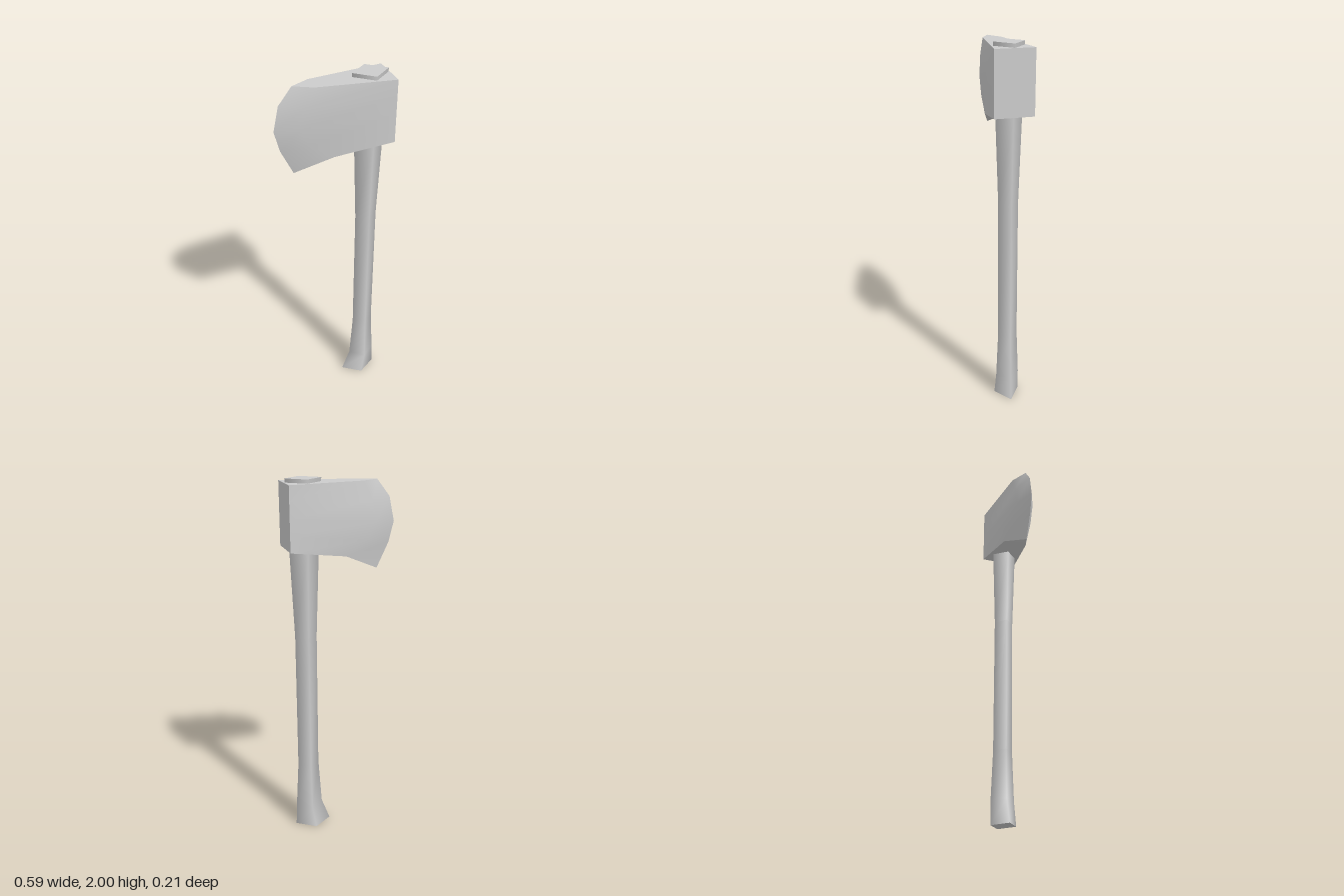
import * as THREE from 'three';
import { toCreasedNormals } from 'three/addons/utils/BufferGeometryUtils.js';

// Skins stacked rings of [x, y, z] points (bottom to top, counter-clockwise from above) and caps both ends.
function loft(rings) {
  const n = rings[0].length;
  const last = rings.length - 1;
  const points = rings.flat();
  const index = [];
  for (let j = 0; j < last; j++) {
    for (let i = 0; i < n; i++) {
      const a = j * n + i;
      const b = j * n + (i + 1) % n;
      index.push(a, b, b + n, a, b + n, a + n);
    }
  }
  // Caps have their own corners so that their rims stay sharp.
  for (const [ring, up] of [[rings[0], false], [rings[last], true]]) {
    const start = points.length;
    points.push(...ring);
    for (let k = 2; k < n; k++) {
      const b = start + k;
      const c = start + (k + 1) % n;
      index.push(start + 1, up ? b : c, up ? c : b);
    }
  }
  const geometry = new THREE.BufferGeometry();
  geometry.setAttribute('position', new THREE.Float32BufferAttribute(points.flat(), 3));
  geometry.setIndex(index);
  geometry.computeVertexNormals();
  return geometry;
}

export function createModel() {
  const model = new THREE.Group();
  const material = new THREE.MeshStandardMaterial({ color: 0xcccccc });
  const add = (name, geometry) => {
    const mesh = new THREE.Mesh(geometry, material);
    mesh.name = name;
    model.add(mesh);
  };

  // Handle: diamond section with a flared foot and a top that pokes through the head.
  // Each level is y, left x, right x, half depth.
  const handleLevels = [
    [0, 0.07, 0.275, 0.07],
    [0.13, 0.117, 0.27, 0.065],
    [0.4, 0.135, 0.255, 0.054],
    [1.17, 0.135, 0.255, 0.054],
    [1.65, 0.117, 0.275, 0.07],
    [2, 0.1, 0.29, 0.08],
  ];
  add('handle', loft(handleLevels.map(([y, x0, x1, d]) => {
    const mid = (x0 + x1) / 2;
    return [[x0, y, 0], [mid, y, d], [x1, y, 0], [mid, y, -d]];
  })));

  // Head: wedge from a square poll to a curved cutting edge.
  // Each level is edge x, y; shoulder x, y, half depth; poll y.
  const poll = 0.295;
  const headLevels = [
    [-0.205, 1.515, -0.01, 1.605, 0.067, 1.65],
    [-0.27, 1.65, -0.13, 1.68, 0.054, 1.73],
    [-0.298, 1.76, -0.18, 1.77, 0.049, 1.81],
    [-0.27, 1.89, -0.16, 1.88, 0.05, 1.9],
    [-0.2, 1.98, -0.105, 1.98, 0.05, 1.98],
  ];
  add('axeHead', toCreasedNormals(loft(headLevels.map(([ex, ey, sx, sy, d, py]) => [
    [ex, ey, 0],
    [sx, sy, d],
    [poll, py, 0.103],
    [poll, py, -0.103],
    [sx, sy, -d],
  ])), 0.7));

  return model;
}
